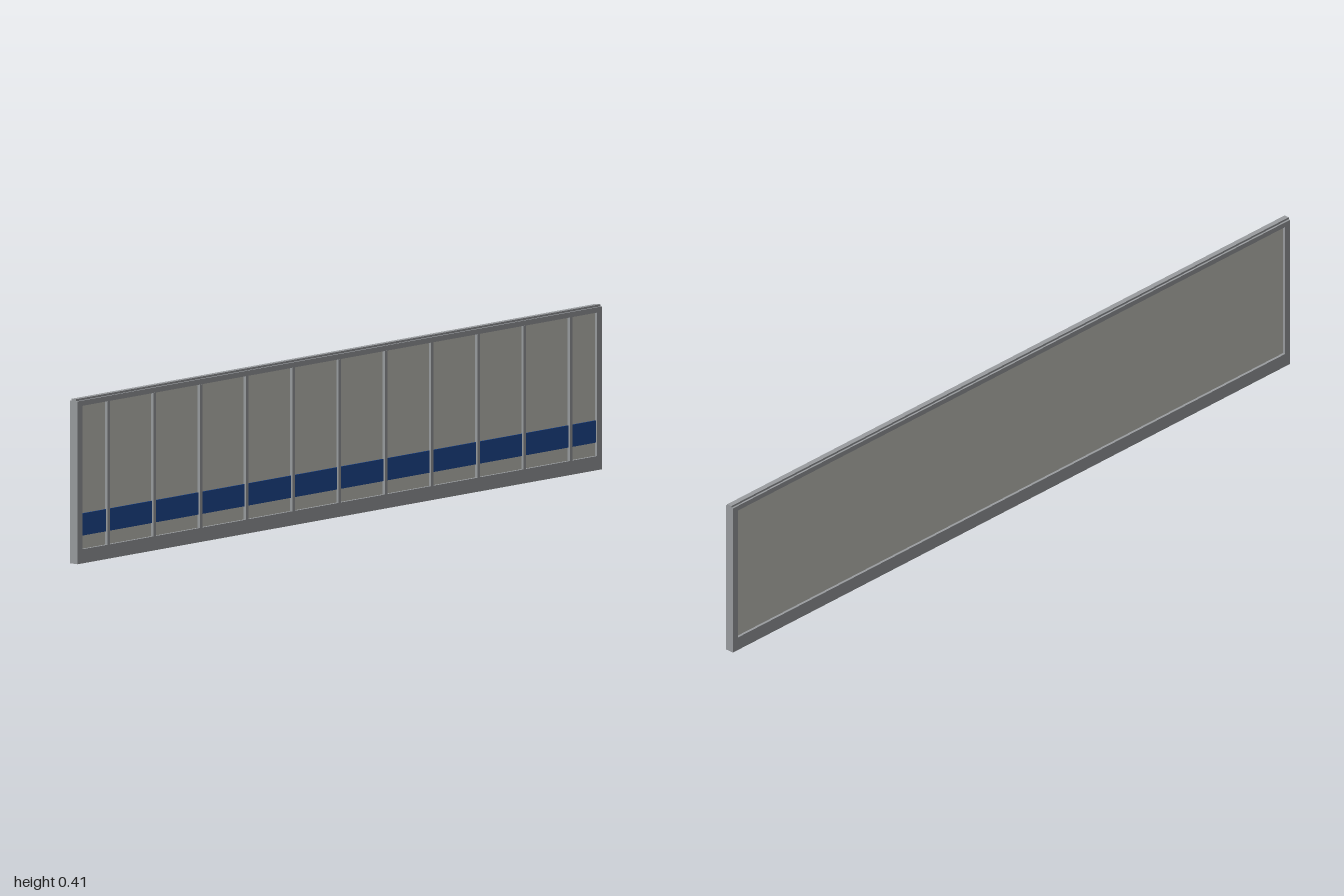
import * as THREE from 'three';

export function createModel() {
  const group = new THREE.Group();
  const frame = new THREE.MeshStandardMaterial({ name: 'frame grey', color: 0x999c9f });
  const board = new THREE.MeshStandardMaterial({ name: 'panel light grey', color: 0xc2c2bb });
  const blue = new THREE.MeshStandardMaterial({ name: 'stripe blue', color: 0x1f4a94 });

  // Box given by its x, y and z extents
  function box(name, material, [x0, x1], [y0, y1], [z0, z1]) {
    const mesh = new THREE.Mesh(new THREE.BoxGeometry(x1 - x0, y1 - y0, z1 - z0), material);
    mesh.position.set((x0 + x1) / 2, (y0 + y1) / 2, (z0 + z1) / 2);
    mesh.name = name;
    group.add(mesh);
  }

  const inner = 0.982, bottom = 0.035, top = 0.391;
  const depth = [-0.012, 0.012];

  // Surrounding frame with a narrow raised cap
  box('bottomRail', frame, [-inner, inner], [0, bottom], depth);
  box('topRail', frame, [-inner, inner], [top, 0.404], depth);
  box('leftPost', frame, [inner, 1], [0, 0.404], depth);
  box('rightPost', frame, [-1, -inner], [0, 0.404], depth);
  box('topCap', frame, [-1, 1], [0.404, 0.409], [-0.007, 0.007]);

  // Recessed board
  box('panel', board, [-inner, inner], [bottom, top], [-0.005, 0.005]);

  // Vertical dividers, with a painted stripe segment in each bay
  const spacing = 0.1765, half = 0.005;
  let start = -inner;
  for (let i = -5; i <= 5; i++) {
    const x = i * spacing;
    box('divider', frame, [x - half, x + half], [bottom, top], [0.005, 0.0125]);
    box('stripe', blue, [start, x - half], [0.068, 0.123], [0.005, 0.008]);
    start = x + half;
  }
  box('stripe', blue, [start, inner], [0.068, 0.123], [0.005, 0.008]);

  return group;
}
